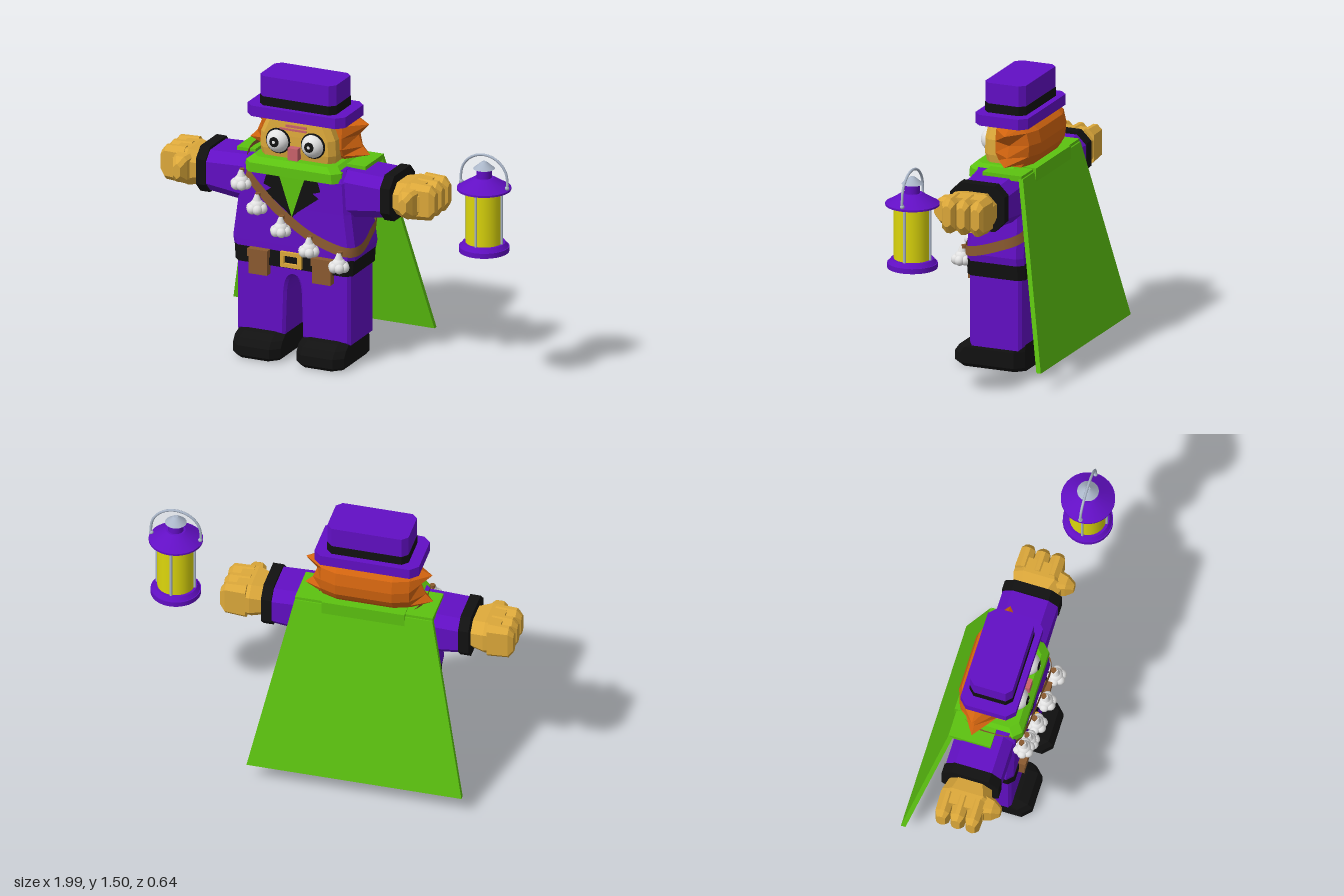
import * as THREE from 'three';

const mat = (name, color, flat = false) => {
  const m = new THREE.MeshStandardMaterial({ color, flatShading: flat });
  m.name = name;
  return m;
};

export function createModel() {
  const purple = mat('purple', 0x620fc4), green = mat('green', 0x5cc210), black = mat('black', 0x111111),
    orange = mat('orange', 0xd2640f), tan = mat('tan', 0xdca83a), brown = mat('brown', 0x8a5a30),
    white = mat('white', 0xe2e2e2), silver = mat('silver', 0xaab6c8), pink = mat('pink', 0xc8626a),
    yellow = mat('yellow', 0xdcd60c);
  brown.side = THREE.DoubleSide;

  const root = new THREE.Group();
  root.name = 'capedLanternBearer';
  const body = new THREE.Group();
  body.name = 'figure';
  body.position.x = -0.22;
  root.add(body);

  const add = (name, geo, m, x = 0, y = 0, z = 0, parent = body) => {
    const mesh = new THREE.Mesh(geo, m);
    mesh.name = name;
    mesh.position.set(x, y, z);
    parent.add(mesh);
    return mesh;
  };
  const box = (name, m, x0, x1, y0, y1, z0, z1) =>
    add(name, new THREE.BoxGeometry(x1 - x0, y1 - y0, z1 - z0), m, (x0 + x1) / 2, (y0 + y1) / 2, (z0 + z1) / 2);

  // Rectangle with cut corners, counter-clockwise
  const oct = (a0, a1, b0, b1, c) => [[a0 + c, b0], [a1 - c, b0], [a1, b0 + c], [a1, b1 - c],
    [a1 - c, b1], [a0 + c, b1], [a0, b1 - c], [a0, b0 + c]];
  // Faceted solid through rings [t, points]; points lie in xz (axis y), zy (axis x) or yx (axis z)
  const place = { y: (t, a, b) => [a, t, b], x: (t, a, b) => [t, b, a], z: (t, a, b) => [b, a, t] };
  const loft = (name, m, axis, rings) => {
    if (rings[0][0] > rings.at(-1)[0]) rings = [...rings].reverse();
    const R = rings.map(([t, pts]) => pts.map(([a, b]) => place[axis](t, a, b)));
    const n = R[0].length, pos = [], tri = (...p) => p.forEach(v => pos.push(...v));
    const last = R.at(-1);
    for (let j = 0; j < n; j++) {
      const k = (j + 1) % n;
      for (let i = 0; i < R.length - 1; i++) {
        tri(R[i][j], R[i + 1][j], R[i][k]);
        tri(R[i][k], R[i + 1][j], R[i + 1][k]);
      }
      if (j && k) {
        tri(R[0][0], R[0][j], R[0][k]);
        tri(last[0], last[k], last[j]);
      }
    }
    const g = new THREE.BufferGeometry();
    g.setAttribute('position', new THREE.Float32BufferAttribute(pos, 3));
    g.computeVertexNormals();
    return add(name, g, m);
  };
  // Upright solid, symmetric in x: rows of [y, halfWidth, zBack, zFront, cut]
  const tower = (name, m, rows) =>
    loft(name, m, 'y', rows.map(([y, w, z0, z1, c]) => [y, oct(-w, w, z0, z1, c)]));
  const plate = (name, m, pts, z) => add(name, new THREE.ExtrudeGeometry(
    new THREE.Shape(pts.map(p => new THREE.Vector2(...p))), { depth: 0.006, bevelEnabled: false }), m, 0, 0, z);

  // Hat
  tower('hatCrown', purple, [[1.395, 0.215, -0.065, 0.163, 0.03], [1.505, 0.215, -0.065, 0.163, 0.03]]);
  tower('hatBand', black, [[1.345, 0.217, -0.067, 0.165, 0.03], [1.395, 0.217, -0.067, 0.165, 0.03]]);
  tower('hatBrim', purple, [[1.29, 0.277, -0.1, 0.196, 0.04], [1.347, 0.277, -0.1, 0.196, 0.04]]);

  // Head and flared hair
  tower('head', tan, [[1.04, 0.2, -0.06, 0.15, 0.03], [1.12, 0.215, -0.06, 0.165, 0.03],
    [1.2, 0.21, -0.06, 0.165, 0.03], [1.29, 0.17, -0.06, 0.16, 0.03]]);
  loft('hair', orange, 'y', [[1.08, 0.24, -0.09, 0.05], [1.1, 0.34, -0.105, 0.07], [1.14, 0.3, -0.13, 0.09],
    [1.2, 0.275, -0.135, 0.09], [1.265, 0.335, -0.12, 0.085], [1.29, 0.28, -0.09, 0.06]]
    .map(([y, w, zb, zf]) => [y, [[-0.15, zb], [0.15, zb], [0.235, zb + 0.03], [w, -0.01],
      [0.225, zf], [-0.225, zf], [-w, -0.01], [-0.235, zb + 0.03]]]));

  // Face
  for (const s of [-1, 1]) {
    const eye = new THREE.Group();
    eye.name = s > 0 ? 'leftEye' : 'rightEye';
    eye.position.set(s * 0.099, 1.168, 0.158);
    body.add(eye);
    const cap = (name, r, angle, m) => add(name, new THREE.SphereGeometry(r, 24, 8, 0, Math.PI * 2, 0, angle)
      .rotateX(Math.PI / 2 - 0.12), m, 0, 0, 0, eye);
    add('eyeball', new THREE.SphereGeometry(0.063, 24, 16), white, 0, 0, 0, eye);
    add('eyeRim', new THREE.TorusGeometry(0.062, 0.007, 8, 28), black, 0, 0, 0.008, eye);
    cap('pupil', 0.065, 0.42, black);
    cap('glint', 0.0665, 0.13, white);
  }
  box('nose', pink, -0.028, 0.028, 1.085, 1.15, 0.15, 0.205);
  box('lowerBrow', pink, -0.09, 0.06, 1.232, 1.242, 0.155, 0.17);
  box('upperBrow', pink, -0.055, 0.06, 1.25, 1.262, 0.155, 0.17);

  // Jacket
  tower('jacket', purple, [[0.58, 0.34, -0.11, 0.208, 0.03], [0.62, 0.348, -0.11, 0.208, 0.03],
    [0.83, 0.32, -0.105, 0.206, 0.03], [1.0, 0.31, -0.105, 0.206, 0.03], [1.06, 0.28, -0.09, 0.18, 0.03]]);
  plate('shirtFront', green, [[-0.09, 1.02], [0, 0.77], [0.09, 1.02]], 0.206);
  for (const s of [-1, 1]) {
    const pts = [[0.08, 1.02], [0, 0.78], [0.03, 0.81], [0.15, 0.9], [0.115, 0.925], [0.16, 0.94], [0.135, 1.02]];
    plate('lapel', black, pts.map(([x, y]) => [s * x, y]), 0.208);
  }

  // Arms and hands
  for (const s of [-1, 1]) {
    const side = s > 0 ? 'left' : 'right';
    const limb = (name, m, rows) => loft(side + name, m, 'x',
      rows.map(([x, z0, z1, y0, y1, c]) => [s * x, oct(z0, z1, y0, y1, c)]));
    limb('Sleeve', purple, [[0.24, -0.1, 0.195, 0.8, 1.06, 0.05], [0.5, -0.1, 0.195, 0.833, 1.05, 0.05]]);
    limb('Cuff', black, [[0.495, -0.105, 0.2, 0.82, 1.065, 0.055], [0.55, -0.105, 0.2, 0.82, 1.065, 0.055]]);
    limb('Palm', tan, [[0.54, -0.06, 0.16, 0.85, 1.02, 0.05], [0.62, -0.08, 0.19, 0.84, 1.035, 0.05],
      [0.7, -0.075, 0.16, 0.85, 1.03, 0.05]]);
    for (const z of [-0.04, 0.04, 0.12])
      limb('Finger', tan, [[0.64, z - 0.04, z + 0.04, 0.84, 1.04, 0.03], [0.75, z - 0.036, z + 0.036, 0.85, 1.035, 0.025],
        [0.777, z - 0.022, z + 0.022, 0.89, 1.0, 0.015]]);
    loft(side + 'Thumb', tan, 'z', [[0.12, 0.58, 0.7, 0.86, 1.02], [0.2, 0.6, 0.68, 0.87, 1.01],
      [0.24, 0.62, 0.66, 0.9, 0.98]].map(([z, x0, x1, y0, y1]) =>
      [z, oct(y0, y1, Math.min(s * x0, s * x1), Math.max(s * x0, s * x1), 0.018)]));
  }

  // Collar and cape
  tower('collar', green, [[1.0, 0.275, -0.06, 0.232, 0.04], [1.05, 0.27, -0.06, 0.23, 0.04],
    [1.078, 0.235, -0.06, 0.2, 0.04]]);
  for (const s of [-1, 1])
    box('capeShoulder', green, s > 0 ? 0.26 : -0.365, s > 0 ? 0.365 : -0.26, 1.045, 1.075, -0.12, 0.1);
  box('capeYoke', green, -0.365, 0.365, 1.045, 1.075, -0.12, -0.04);
  box('collarBack', green, -0.22, 0.22, 1.0, 1.08, -0.137, -0.06);
  const capeRing = (y, w, z) => [y, [[-w, z], [w, z], [w, z + 0.025], [-w, z + 0.025]]];
  loft('cape', green, 'y', [capeRing(0.1, 0.57, -0.318), capeRing(1.06, 0.365, -0.127)]);

  // Trousers with an arch between the legs
  const legs = new THREE.Shape();
  legs.moveTo(-0.32, 0.52).lineTo(-0.32, 0.12).lineTo(-0.05, 0.12).lineTo(-0.042, 0.36);
  legs.quadraticCurveTo(-0.035, 0.45, 0, 0.45).quadraticCurveTo(0.035, 0.45, 0.042, 0.36);
  legs.lineTo(0.05, 0.12).lineTo(0.32, 0.12).lineTo(0.32, 0.52).closePath();
  add('trousers', new THREE.ExtrudeGeometry(legs, { depth: 0.26, bevelThickness: 0.015, bevelSize: 0.015,
    bevelOffset: -0.015, bevelSegments: 1, curveSegments: 8 }), purple, 0, 0, -0.08);
  for (const s of [-1, 1])
    loft(s > 0 ? 'leftShoe' : 'rightShoe', black, 'y', [[0, 0.275, 0.12], [0.02, 0.295, 0.135], [0.07, 0.295, 0.135],
      [0.105, 0.27, 0.135], [0.13, 0.22, 0.13], [0.14, 0.19, 0.125]]
      .map(([y, zf, w]) => [y, oct(s * 0.18 - w, s * 0.18 + w, -0.097, zf, 0.045)]));

  // Belt, buckle and pouches
  tower('belt', black, [[0.5, 0.332, -0.112, 0.212, 0.03], [0.585, 0.338, -0.112, 0.212, 0.03]]);
  const frame = new THREE.Shape([[-0.06, 0.508], [0.06, 0.508], [0.06, 0.59], [-0.06, 0.59]].map(p => new THREE.Vector2(...p)));
  frame.holes.push(new THREE.Path([[-0.038, 0.528], [-0.038, 0.57], [0.038, 0.57], [0.038, 0.528]].map(p => new THREE.Vector2(...p))));
  add('buckle', new THREE.ExtrudeGeometry(frame, { depth: 0.018, bevelEnabled: false }), tan, 0, 0, 0.21);
  for (const x of [-0.18, 0.18]) {
    box('pouch', brown, x - 0.052, x + 0.052, 0.45, 0.56, 0.19, 0.24);
    box('pouchFlap', brown, x - 0.057, x + 0.057, 0.545, 0.587, 0.19, 0.247);
  }

  // Bandolier strap: a band that follows a loop around the chest
  const loop = new THREE.CatmullRomCurve3([[-0.29, 1.06, 0.1], [-0.26, 1.0, 0.205], [-0.15, 0.88, 0.222],
    [-0.03, 0.78, 0.222], [0.12, 0.69, 0.222], [0.32, 0.635, 0.215], [0.362, 0.64, 0.16], [0.355, 0.68, 0.02],
    [0.325, 0.74, -0.11], [0.12, 0.85, -0.12], [-0.18, 1.0, -0.12], [-0.28, 1.065, -0.03]]
    .map(p => new THREE.Vector3(...p)), true);
  const N = 80, rows = [], idx = [];
  for (let i = 0; i <= N; i++) {
    const p = loop.getPointAt((i % N) / N), t = loop.getTangentAt((i % N) / N);
    const out = new THREE.Vector3((p.x / 0.35) ** 3, 0, ((p.z - 0.05) / 0.165) ** 3).normalize();
    const w = out.cross(t).normalize().multiplyScalar(0.026);
    rows.push(p.x + w.x, p.y + w.y, p.z + w.z, p.x - w.x, p.y - w.y, p.z - w.z);
    if (i < N) idx.push(2 * i, 2 * i + 1, 2 * i + 2, 2 * i + 1, 2 * i + 3, 2 * i + 2);
  }
  const strap = new THREE.BufferGeometry();
  strap.setAttribute('position', new THREE.Float32BufferAttribute(rows, 3));
  strap.setIndex(idx);
  strap.computeVertexNormals();
  add('bandolier', strap, brown);

  // Garlic bulbs hanging from the strap
  for (const [x, y] of [[-0.27, 0.945], [-0.18, 0.825], [-0.045, 0.722], [0.115, 0.635], [0.285, 0.575]]) {
    const bulb = new THREE.Group();
    bulb.name = 'garlicBulb';
    bulb.position.set(x, y, 0.25);
    body.add(bulb);
    add('core', new THREE.SphereGeometry(0.04, 14, 10), white, 0, 0, 0, bulb);
    for (let i = 0; i < 6; i++) {
      const a = i * Math.PI / 3;
      add('clove', new THREE.SphereGeometry(0.027, 12, 8), white, 0.031 * Math.cos(a), -0.01, 0.031 * Math.sin(a), bulb);
    }
    add('neck', new THREE.CylinderGeometry(0.01, 0.026, 0.04, 10), white, 0, 0.045, 0, bulb);
    add('tie', new THREE.CylinderGeometry(0.014, 0.014, 0.018, 10), brown, 0, 0.06, -0.012, bulb);
  }

  // Lantern
  const lantern = new THREE.Group();
  lantern.name = 'lantern';
  lantern.position.set(0.855, 0, 0.178);
  root.add(lantern);
  const turned = (name, m, y0, y1, r0, r1) =>
    add(name, new THREE.CylinderGeometry(r1, r0, y1 - y0, 32), m, 0, (y0 + y1) / 2, 0, lantern);
  turned('lanternFoot', purple, 0.753, 0.78, 0.13, 0.13);
  turned('lanternBase', purple, 0.78, 0.802, 0.125, 0.11);
  turned('glass', yellow, 0.8, 1.095, 0.096, 0.096);
  turned('roofRim', purple, 1.088, 1.098, 0.14, 0.14);
  turned('roof', purple, 1.098, 1.152, 0.138, 0.05);
  turned('chimney', purple, 1.15, 1.205, 0.04, 0.04);
  turned('chimneyCap', silver, 1.2, 1.237, 0.056, 0.012);
  for (let i = 0; i < 4; i++) {
    const a = i * Math.PI / 2;
    add('post', new THREE.CylinderGeometry(0.007, 0.007, 0.29, 10), silver, 0.1 * Math.cos(a), 0.945, 0.1 * Math.sin(a), lantern);
  }
  const handlePts = [[-0.132, 1.105]];
  for (let i = 0; i <= 8; i++) {
    const a = Math.PI * (1 - i / 8);
    handlePts.push([0.132 * Math.cos(a), 1.145 + 0.128 * Math.sin(a)]);
  }
  handlePts.push([0.132, 1.105]);
  add('handle', new THREE.TubeGeometry(new THREE.CatmullRomCurve3(handlePts.map(([x, y]) => new THREE.Vector3(x, y, 0))),
    40, 0.007, 8), silver, 0, 0, 0, lantern);
  for (const s of [-1, 1]) add('handlePivot', new THREE.SphereGeometry(0.012, 10, 8), silver, s * 0.13, 1.11, 0, lantern);
  return root;
}
